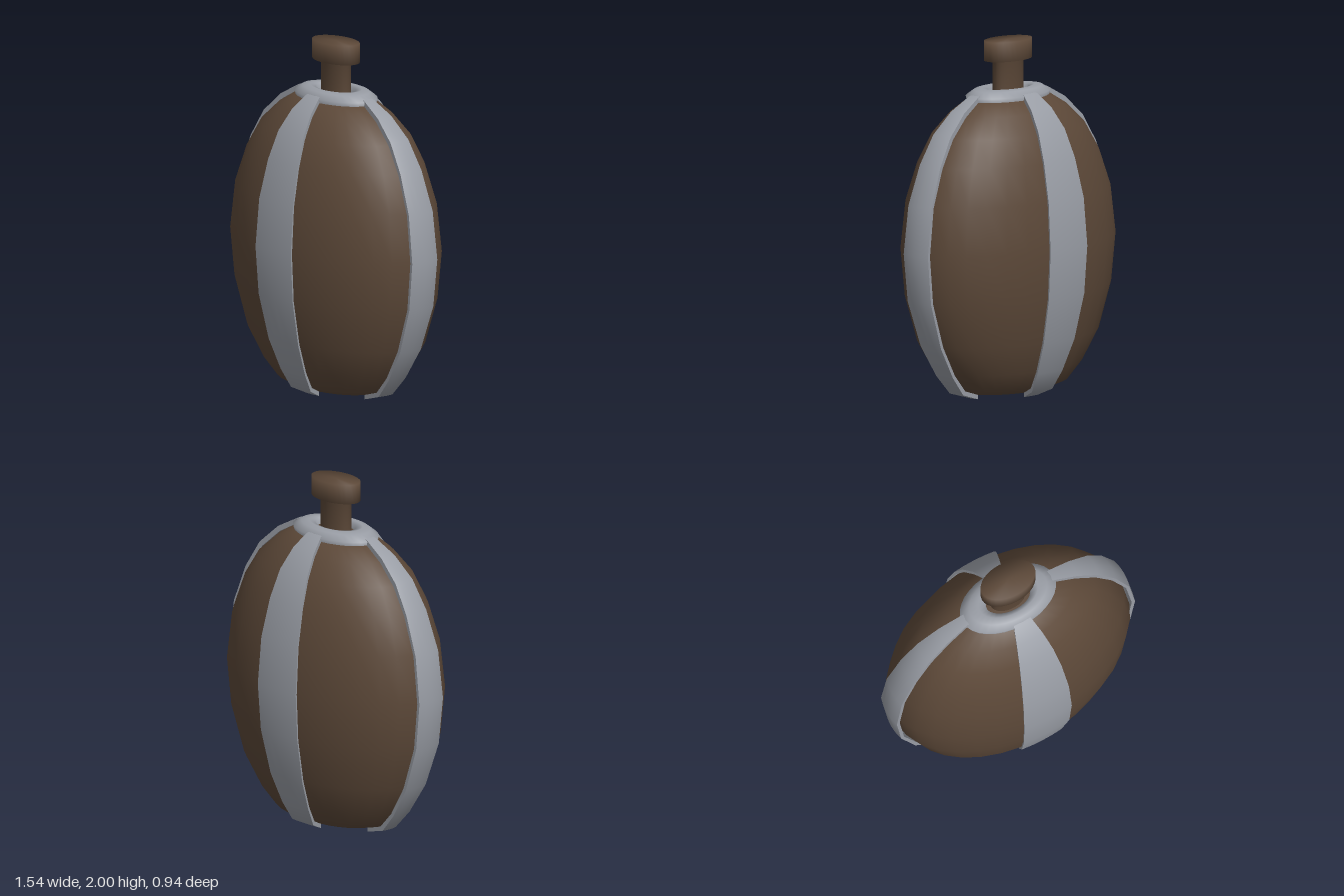
import * as THREE from 'three';

const DEPTH = 0.61; // the whole flask is flattened front to back
const STRAP_ANGLE = Math.PI / 8;

const toPoints = (list) => list.map(([r, y]) => new THREE.Vector2(r, y));

function lathe(points, segments, start = 0, length = Math.PI * 2) {
  return new THREE.LatheGeometry(toPoints(points), segments, start, length).scale(1, 1, DEPTH);
}

export function createModel() {
  const model = new THREE.Group();
  const leather = new THREE.MeshStandardMaterial({ color: 0x5c4838 });
  leather.name = 'brownLeather';
  const steel = new THREE.MeshStandardMaterial({ color: 0x999da5, side: THREE.DoubleSide });
  steel.name = 'greySteel';

  const add = (name, geometry, material, parent = model) => {
    const mesh = new THREE.Mesh(geometry, material);
    mesh.name = name;
    parent.add(mesh);
    return mesh;
  };

  // Egg-shaped body with a shallow pointed bottom
  add('body', lathe([
    [0, 0], [0.29, 0.035], [0.41, 0.07], [0.51, 0.17], [0.62, 0.34], [0.705, 0.6], [0.735, 0.87],
    [0.7, 1.14], [0.62, 1.35], [0.525, 1.5], [0.4, 1.61], [0.28, 1.68], [0.15, 1.7], [0, 1.7],
  ], 32), leather);

  // Neck and stopper in one turned piece
  add('neckAndStopper', lathe([
    [0.105, 1.68], [0.105, 1.89], [0.165, 1.89], [0.165, 2], [0, 2],
  ], 32), leather);

  // Rounded collar ring on the shoulder
  add('collarRing', lathe([
    [0.28, 1.665], [0.29, 1.7], [0.235, 1.73], [0.18, 1.738], [0.14, 1.73], [0.13, 1.69],
  ], 32), steel);

  // Four straps: sectors of a shell that follows the body
  const outer = [
    [0.29, 0.01], [0.43, 0.05], [0.53, 0.16], [0.645, 0.34], [0.74, 0.6], [0.77, 0.87],
    [0.735, 1.14], [0.65, 1.36], [0.55, 1.52], [0.42, 1.635], [0.29, 1.705], [0.22, 1.725],
  ];
  const inner = [
    [0.22, 1.69], [0.28, 1.68], [0.405, 1.61], [0.53, 1.5], [0.63, 1.35], [0.715, 1.14],
    [0.75, 0.87], [0.72, 0.6], [0.625, 0.35], [0.515, 0.18], [0.42, 0.08], [0.29, 0.04],
  ];
  const profile = new THREE.Shape(toPoints([...outer, ...inner]));
  ['front', 'left', 'back', 'right'].forEach((side, i) => {
    const strap = new THREE.Group();
    strap.name = side + 'Strap';
    const start = i * Math.PI / 2 - STRAP_ANGLE / 2;
    add('strapOuterFace', lathe(outer, 4, start, STRAP_ANGLE), steel, strap);
    add('strapInnerFace', lathe(inner, 4, start, STRAP_ANGLE), steel, strap);
    add('strapFoot', lathe([inner[inner.length - 1], outer[0]], 4, start, STRAP_ANGLE), steel, strap);
    for (const phi of [start, start + STRAP_ANGLE]) {
      const edge = new THREE.ShapeGeometry(profile).rotateY(phi - Math.PI / 2).scale(1, 1, DEPTH);
      add('strapEdge', edge, steel, strap);
    }
    model.add(strap);
  });

  return model;
}
